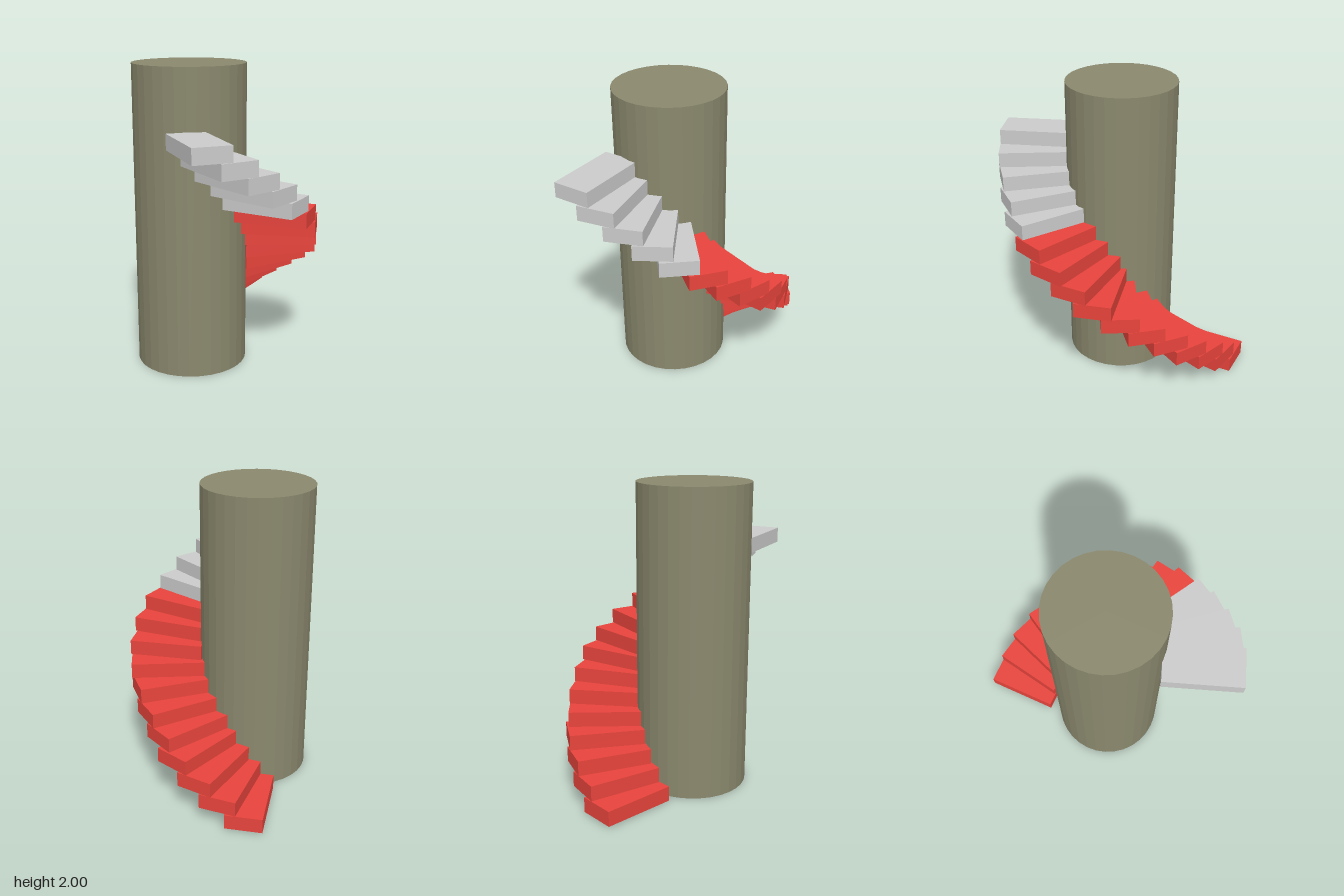
import * as THREE from 'three';

export function createModel() {
  const model = new THREE.Group();
  const material = (color) => new THREE.MeshStandardMaterial({ color, flatShading: true });
  const red = material(0xe8443c);
  const grey = material(0xcccccc);

  // Central column
  const column = new THREE.Mesh(new THREE.CylinderGeometry(0.367, 0.367, 2, 32), material(0x8a886d));
  column.name = 'column';
  column.position.set(-0.235, 1, 0.022);
  model.add(column);

  // Hand-placed treads, bottom to top: centre x, centre z, heading in degrees from +x towards +z
  const treads = [
    [-0.203, -0.62, -80], [-0.079, -0.578, -70], [0.031, -0.522, -60], [0.139, -0.439, -50],
    [0.204, -0.35, -40], [0.272, -0.246, -30], [0.323, -0.128, -20], [0.355, -0.018, -5],
    [0.348, 0.08, 10], [0.322, 0.2, 20], [0.262, 0.307, 30], [0.176, 0.409, 40],
    [0.082, 0.479, 50], [-0.032, 0.547, 60], [-0.148, 0.598, 70], [-0.271, 0.621, 80],
  ];
  const treadGeometry = new THREE.BoxGeometry(0.49, 0.1, 0.245);
  const stairs = new THREE.Group();
  stairs.name = 'stairs';
  treads.forEach(([x, z, heading], i) => {
    const tread = new THREE.Mesh(treadGeometry, i < 11 ? red : grey);
    tread.name = `tread${i + 1}`;
    tread.position.set(x, 0.06 + i * 0.1, z);
    tread.rotation.y = -THREE.MathUtils.degToRad(heading);
    stairs.add(tread);
  });
  model.add(stairs);

  return model;
}
